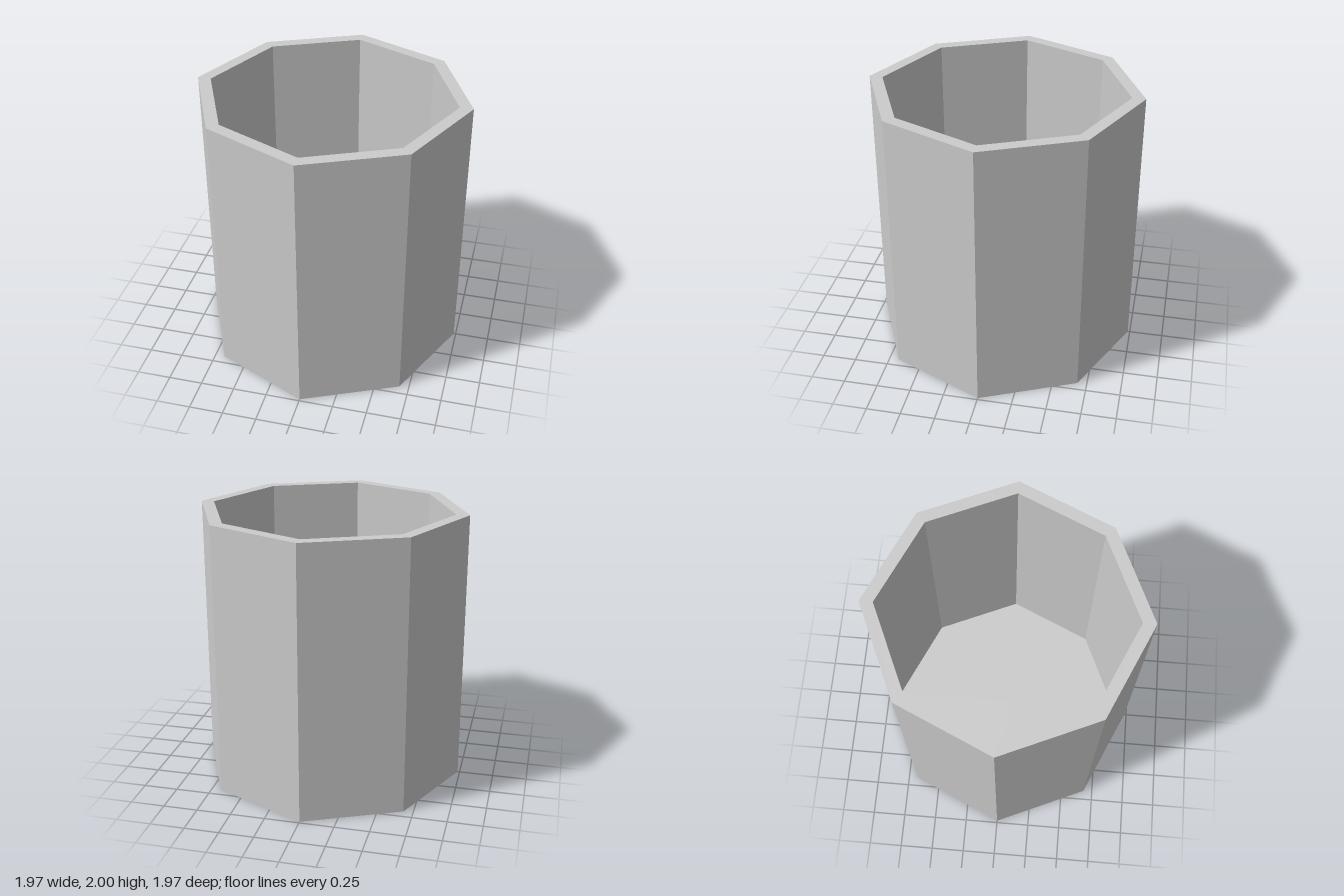
import * as THREE from 'three';

const HEIGHT = 2, OUTER = 0.985, INNER = 0.89, FLOOR = 0.1;
const DIAGONAL = 0.977; // the diagonal corners sit slightly inward

export function createModel() {
  const group = new THREE.Group();
  group.name = 'octagonalPot';

  // Closed section: underside, outer wall, rim, inner wall, inside floor
  const profile = [
    [0, 0], [OUTER, 0], [OUTER, HEIGHT], [INNER, HEIGHT], [INNER, FLOOR], [0, FLOOR],
  ].map(([r, y]) => new THREE.Vector2(r, y));
  const lathe = new THREE.LatheGeometry(profile, 8);

  // Pull in every second corner
  const pos = lathe.attributes.position;
  for (let i = 0; i < pos.count; i++) {
    const corner = Math.floor(i / profile.length);
    const k = corner % 2 ? DIAGONAL : 1;
    pos.setXYZ(i, pos.getX(i) * k, pos.getY(i), pos.getZ(i) * k);
  }
  const geometry = lathe.toNonIndexed();
  geometry.computeVertexNormals();

  const pot = new THREE.Mesh(
    geometry,
    new THREE.MeshStandardMaterial({ color: 0xcccccc, flatShading: true }),
  );
  pot.name = 'potBody';
  group.add(pot);
  return group;
}
